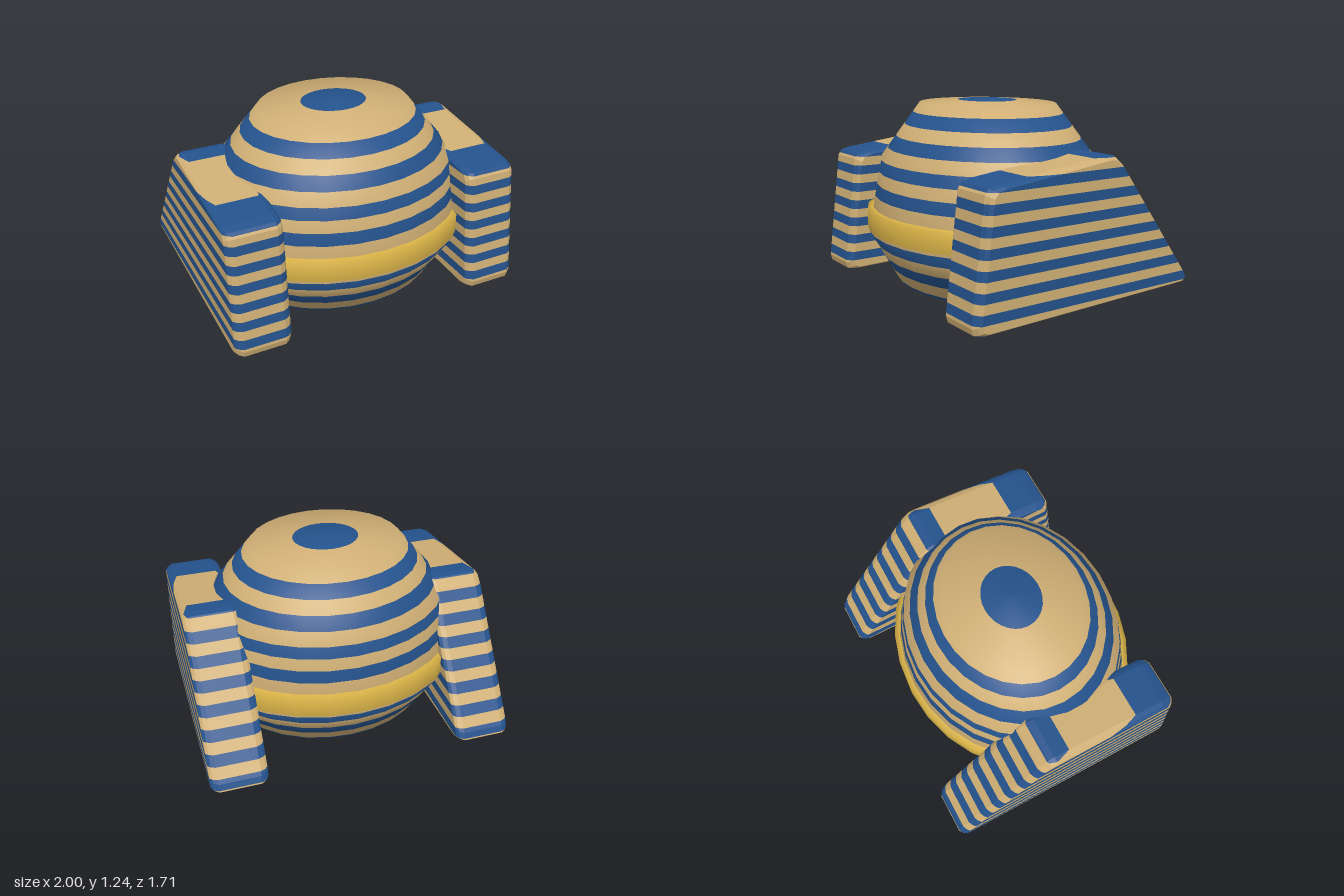
import * as THREE from 'three';

const material = (name, color) => {
  const m = new THREE.MeshStandardMaterial({ color });
  m.name = name;
  return m;
};

// Cut a geometry into level bands of equal height, alternating between two material groups
function stripe(geometry, start, height) {
  const g = geometry.index ? geometry.toNonIndexed() : geometry;
  const pos = g.attributes.position, nor = g.attributes.normal;
  const out = [[], []];
  const clip = (poly, level, sign) => {
    const kept = [];
    poly.forEach((a, i) => {
      const b = poly[(i + 1) % poly.length];
      const da = (a[1] - level) * sign, db = (b[1] - level) * sign;
      if (da >= 0) kept.push(a);
      if (da * db < 0) kept.push(a.map((v, k) => v + (b[k] - v) * da / (da - db)));
    });
    return kept;
  };
  for (let t = 0; t < pos.count; t += 3) {
    const tri = [t, t + 1, t + 2].map(i => [
      pos.getX(i), pos.getY(i), pos.getZ(i), nor.getX(i), nor.getY(i), nor.getZ(i)]);
    const ys = tri.map(v => v[1]);
    const first = Math.floor((Math.min(...ys) - start) / height);
    const last = Math.floor((Math.max(...ys) - start) / height);
    for (let k = first; k <= last; k++) {
      const lo = start + k * height;
      const poly = clip(clip(tri, lo, 1), lo + height, -1);
      for (let i = 1; i < poly.length - 1; i++) out[Math.abs(k) % 2].push(poly[0], poly[i], poly[i + 1]);
    }
  }
  const all = [...out[0], ...out[1]];
  const result = new THREE.BufferGeometry();
  result.setAttribute('position', new THREE.Float32BufferAttribute(all.flatMap(v => v.slice(0, 3)), 3));
  result.setAttribute('normal', new THREE.Float32BufferAttribute(all.flatMap(v => v.slice(3)), 3));
  result.addGroup(0, out[0].length, 0);
  result.addGroup(out[0].length, out[1].length, 1);
  return result;
}

// Oval turned form; profile is [depth radius, y] from bottom to top
function oval(profile) {
  const g = new THREE.LatheGeometry(profile.map(p => new THREE.Vector2(...p)), 28);
  return g.scale(1.175, 1, 1).translate(0, 0, 0.07);
}

// Side block: a clipped-corner side outline lofted across x, shrinking at both ends for the bevel
function sideBlock() {
  const outline = [ // [z, y]
    [0.775, 0.01], [0.807, 0.023], [0.82, 0.064],
    [0.73, 0.8], [0.706, 0.835], [0.647, 0.851],
    [-0.15, 0.95], [-0.195, 0.944], [-0.257, 0.89],
    [-0.835, 0.12], [-0.855, 0.075], [-0.826, 0.055]];
  const sections = [ // [x, scale]
    [-0.1825, 0.95], [-0.165, 0.978], [-0.135, 1],
    [0.135, 1], [0.165, 0.978], [0.1825, 0.95]];
  const n = outline.length, verts = [], index = [];
  for (const [x, s] of sections)
    for (const [z, y] of outline) verts.push(x, 0.42 + (y - 0.42) * s, -0.02 + (z + 0.02) * s);
  for (let r = 0; r < sections.length - 1; r++)
    for (let i = 0; i < n; i++) {
      const j = (i + 1) % n, a = r * n + i, b = r * n + j;
      index.push(a, a + n, b, b, a + n, b + n);
    }
  const end = (sections.length - 1) * n;
  for (let i = 1; i < n - 1; i++) index.push(0, i, i + 1, end, end + i + 1, end + i);

  const g = new THREE.BufferGeometry();
  g.setAttribute('position', new THREE.Float32BufferAttribute(verts, 3));
  g.setIndex(index);
  // Make sure the faces point outwards
  const p = g.attributes.position, v = i => new THREE.Vector3().fromBufferAttribute(p, i);
  let volume = 0;
  for (let i = 0; i < index.length; i += 3)
    volume += v(index[i]).dot(v(index[i + 1]).cross(v(index[i + 2])));
  if (volume < 0) g.setIndex(index.reverse());
  const flat = g.toNonIndexed();
  flat.computeVertexNormals();
  return flat;
}

export function createModel() {
  const blue = material('blue', 0x24528c);
  const tan = material('tan', 0xcfae74);
  const gold = material('gold', 0xdcb548);
  const model = new THREE.Group();
  const add = (name, geometry, mat, x = 0) => {
    const mesh = new THREE.Mesh(geometry, mat);
    mesh.name = name;
    mesh.position.x = x;
    model.add(mesh);
  };

  // Striped oval body with shallow caps
  const body = oval([[0, 0], [0.59, 0.012], [0.775, 0.35], [0.685, 0.845], [0.43, 1.212], [0, 1.2435]]);
  add('body', stripe(body, 0.1085, 0.0801), [blue, tan]);

  // Gold belt around the widest part
  add('belt', oval([[0.74, 0.512], [0.782, 0.505], [0.782, 0.37], [0.75, 0.355]].reverse()), gold);

  // Striped side blocks
  const block = stripe(sideBlock(), 0.083, 0.061);
  add('leftBlock', block, [blue, tan], 0.8175);
  add('rightBlock', block, [blue, tan], -0.8175);
  return model;
}
